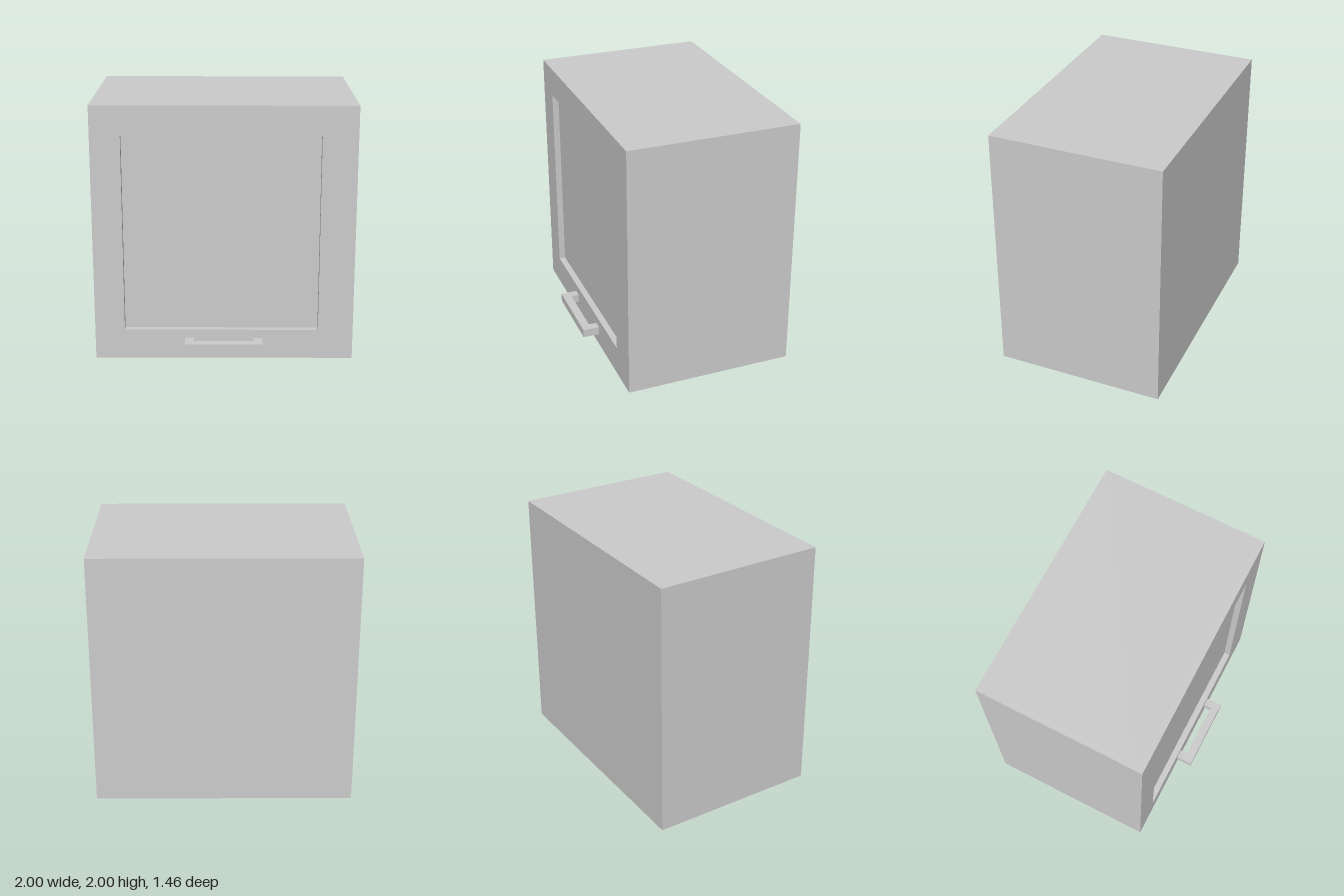
import * as THREE from 'three';

export function createModel() {
  const group = new THREE.Group();
  const material = new THREE.MeshStandardMaterial({ color: 0xcccccc, flatShading: true });

  const add = (name, geometry) => {
    const mesh = new THREE.Mesh(geometry, material);
    mesh.name = name;
    group.add(mesh);
    return mesh;
  };

  // Box given by its minimum and maximum corners
  const box = (name, [x0, y0, z0], [x1, y1, z1]) =>
    add(name, new THREE.BoxGeometry(x1 - x0, y1 - y0, z1 - z0))
      .position.set((x0 + x1) / 2, (y0 + y1) / 2, (z0 + z1) / 2);

  const back = -0.73, doorBack = 0.55, front = 0.6;

  // Cabinet body; its front is the recessed panel inside the door frame
  box('cabinetBody', [-1, 0, back], [1, 2, doorBack]);

  // Door frame with a slightly off-centre opening
  const frame = new THREE.Shape();
  frame.moveTo(-1, 0).lineTo(1, 0).lineTo(1, 2).lineTo(-1, 2).closePath();
  const opening = new THREE.Path();
  opening.moveTo(-0.77, 0.235).lineTo(-0.77, 1.77).lineTo(0.73, 1.77).lineTo(0.73, 0.235).closePath();
  frame.holes.push(opening);
  add('doorFrame', new THREE.ExtrudeGeometry(frame, { depth: front - doorBack, bevelEnabled: false }))
    .position.z = doorBack;

  // Handle: a square-section bar on two posts
  const y0 = 0.1, y1 = 0.167, t = 0.067, tip = 0.73;
  box('handleBar', [-0.3 + t, y0, tip - t], [0.3 - t, y1, tip]);
  box('handlePostRight', [-0.3, y0, front], [-0.3 + t, y1, tip]);
  box('handlePostLeft', [0.3 - t, y0, front], [0.3, y1, tip]);

  return group;
}
